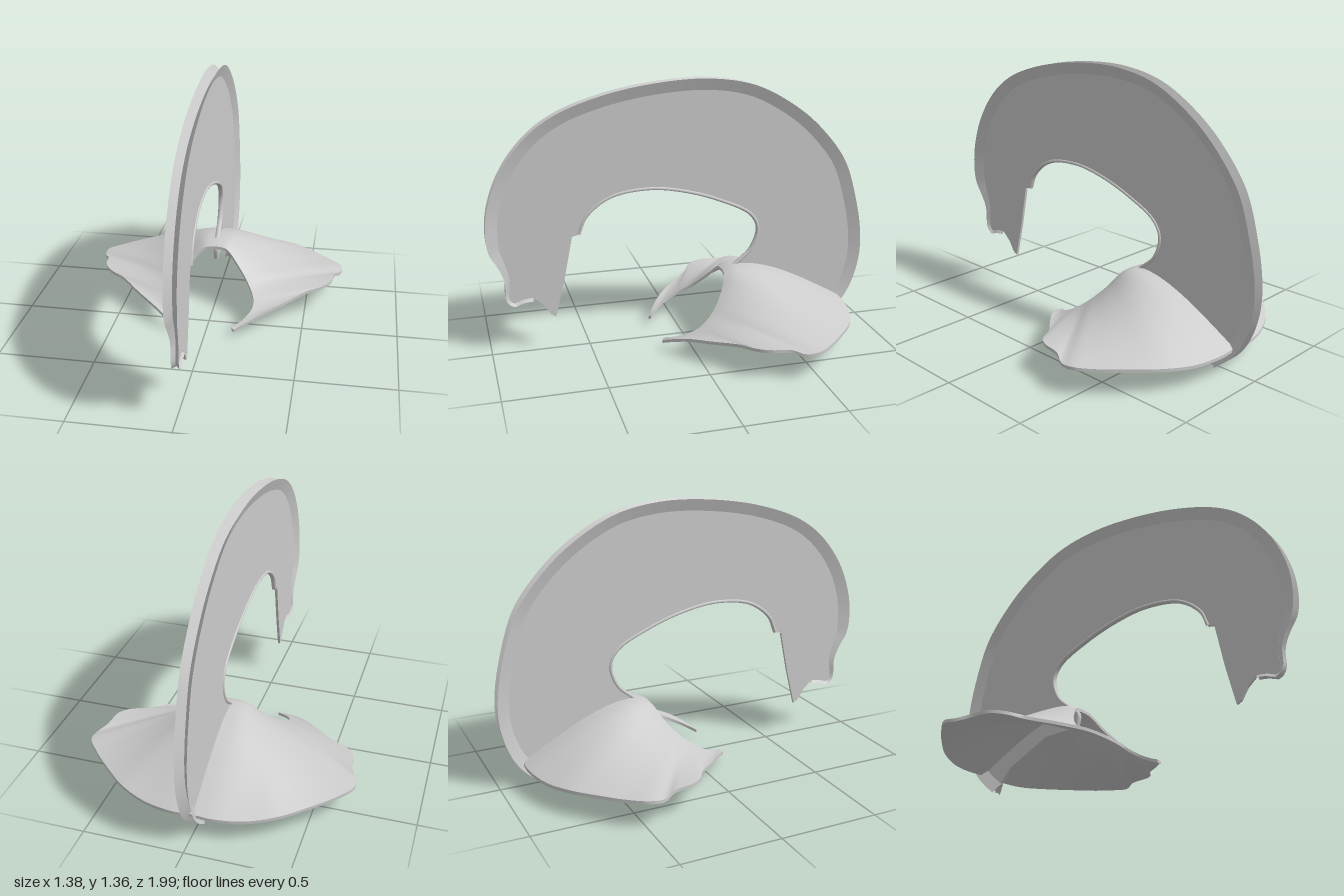
import * as THREE from 'three';
import { mergeVertices, toCreasedNormals } from 'three/addons/utils/BufferGeometryUtils.js';

const material = new THREE.MeshStandardMaterial({ color: 0xcccccc, side: THREE.DoubleSide });
const curve = (pts) => new THREE.CatmullRomCurve3(pts.map((p) => new THREE.Vector3(...p)), false, 'centripetal');

// Skin a list of equal closed rings and cap both ends
function loft(rings) {
  const n = rings[0].length, index = [];
  for (let i = 0; i < rings.length - 1; i++) {
    for (let j = 0; j < n; j++) {
      const k = (j + 1) % n, a = i * n, b = a + n;
      index.push(a + j, b + j, a + k, b + j, b + k, a + k);
    }
  }
  const last = (rings.length - 1) * n;
  for (let j = 1; j < n - 1; j++) {
    index.push(0, j, j + 1, last, last + j + 1, last + j);
  }
  const g = new THREE.BufferGeometry();
  g.setAttribute('position', new THREE.Float32BufferAttribute(rings.flat(2), 3));
  g.setIndex(index);
  return toCreasedNormals(mergeVertices(g), 0.7);
}

function add(group, name, geometry) {
  const mesh = new THREE.Mesh(geometry, material);
  mesh.name = name;
  group.add(mesh);
}

// Upright sickle plate with a grooved outer rim and a rounded inner rim
function createSickle() {
  const group = new THREE.Group();
  group.name = 'sickle';
  const flat = (pts) => curve(pts.map(([z, y]) => [0, y, z]));

  const outer = flat([
    [0.78, 0.28], [0.83, 0.275], [0.88, 0.26], [0.915, 0.295], [0.92, 0.4], [0.95, 0.48], [0.988, 0.55],
    [1, 0.65], [0.985, 0.78], [0.92, 0.95], [0.8, 1.11], [0.65, 1.22], [0.4, 1.31], [0.1, 1.36],
    [-0.15, 1.365], [-0.38, 1.32], [-0.6, 1.2], [-0.75, 1.07], [-0.88, 0.9], [-0.95, 0.7],
    [-0.99, 0.5], [-0.99, 0.35], [-0.95, 0.2], [-0.89, 0.1], [-0.785, 0.005],
  ]);
  const inner = flat([
    [-0.25, 0.26], [-0.24, 0.33], [-0.3, 0.38], [-0.375, 0.45], [-0.41, 0.56], [-0.37, 0.64], [-0.2, 0.73],
    [0, 0.795], [0.18, 0.82], [0.38, 0.79], [0.5, 0.7], [0.54, 0.61],
  ]);

  // Grooved rim: two thin wings around a valley, smaller at the front end
  const section = [[0, 0.05], [-0.03, 0], [-0.007, 0.06], [0.007, 0.06], [0.03, 0]];
  const rings = [], inset = [], steps = 160;
  for (let i = 0; i <= steps; i++) {
    const p = outer.getPointAt(i / steps), t = outer.getTangentAt(i / steps);
    const size = THREE.MathUtils.lerp(0.3, 1, THREE.MathUtils.smoothstep(i / steps, 0.03, 0.13));
    const at = (d) => [p.y + t.z * d * size, p.z - t.y * d * size];
    rings.push(section.map(([x, d]) => [x * Math.max(size, 0.6), ...at(d)]));
    const [y, z] = at(0.052);
    inset.push(new THREE.Vector2(z, y));
  }
  add(group, 'groovedRim', loft(rings));

  // Plate between the rims, with the pointed front end
  const shape = new THREE.Shape([
    new THREE.Vector2(0.67, 0.18), new THREE.Vector2(0.695, 0.195), new THREE.Vector2(0.73, 0.25),
    ...inset,
    new THREE.Vector2(-0.785, 0.01), new THREE.Vector2(-0.69, 0.125), new THREE.Vector2(-0.45, 0.25),
    ...inner.getSpacedPoints(80).map((p) => new THREE.Vector2(p.z, p.y)),
    new THREE.Vector2(0.575, 0.6), new THREE.Vector2(0.62, 0.38),
  ]);
  const plate = new THREE.ExtrudeGeometry(shape, { depth: 0.014, bevelEnabled: false });
  plate.rotateY(-Math.PI / 2).translate(0.007, 0, 0);
  add(group, 'plate', plate);

  const rim = new THREE.TubeGeometry(inner, 100, 0.01, 8);
  rim.scale(1.4, 1, 1);
  add(group, 'innerRim', rim);
  return group;
}

// Tent-like sheet with a front notch and two forward horns
function createTent() {
  const notch = curve([
    [0, 0.35, -0.213], [0.06, 0.34, -0.208], [0.13, 0.27, -0.17], [0.2, 0.19, -0.1],
    [0.235, 0.14, -0.03], [0.235, 0.115, 0.02], [0.2, 0.085, 0.085], [0.142, 0.058, 0.14],
  ]);
  const border = curve([
    [0, 0.135, -0.88], [0.1, 0.13, -0.88], [0.25, 0.125, -0.845], [0.39, 0.135, -0.78], [0.5, 0.14, -0.69],
    [0.62, 0.145, -0.575], [0.685, 0.15, -0.49], [0.683, 0.145, -0.42], [0.65, 0.16, -0.36],
    [0.635, 0.165, -0.26], [0.59, 0.16, -0.2], [0.51, 0.15, -0.15], [0.4, 0.13, -0.04],
    [0.3, 0.11, 0.05], [0.22, 0.08, 0.11], [0.155, 0.05, 0.15],
  ]);
  const rings = [], half = 64, across = 20, thickness = 0.016;
  for (let i = -half; i <= half; i++) {
    const s = Math.abs(i) / half, side = Math.sign(i);
    const a = notch.getPointAt(Math.pow(s, 1.15)), b = border.getPointAt(s);
    const bulge = 0.075 * (1 - THREE.MathUtils.smoothstep(s, 0.05, 0.65));
    const top = [];
    for (let j = 0; j <= across; j++) {
      const t = j / across, p = a.clone().lerp(b, t);
      top.push([p.x * side, p.y + bulge * Math.sin(Math.PI * Math.pow(t, 0.7)), p.z]);
    }
    const bottom = top.map(([x, y, z]) => [x, y - thickness, z]).reverse();
    rings.push([...top, ...bottom]);
  }
  const group = new THREE.Group();
  group.name = 'tent';
  add(group, 'tentSheet', loft(rings));
  return group;
}

export function createModel() {
  const model = new THREE.Group();
  model.name = 'sickleAndTent';
  model.add(createSickle(), createTent());
  return model;
}
